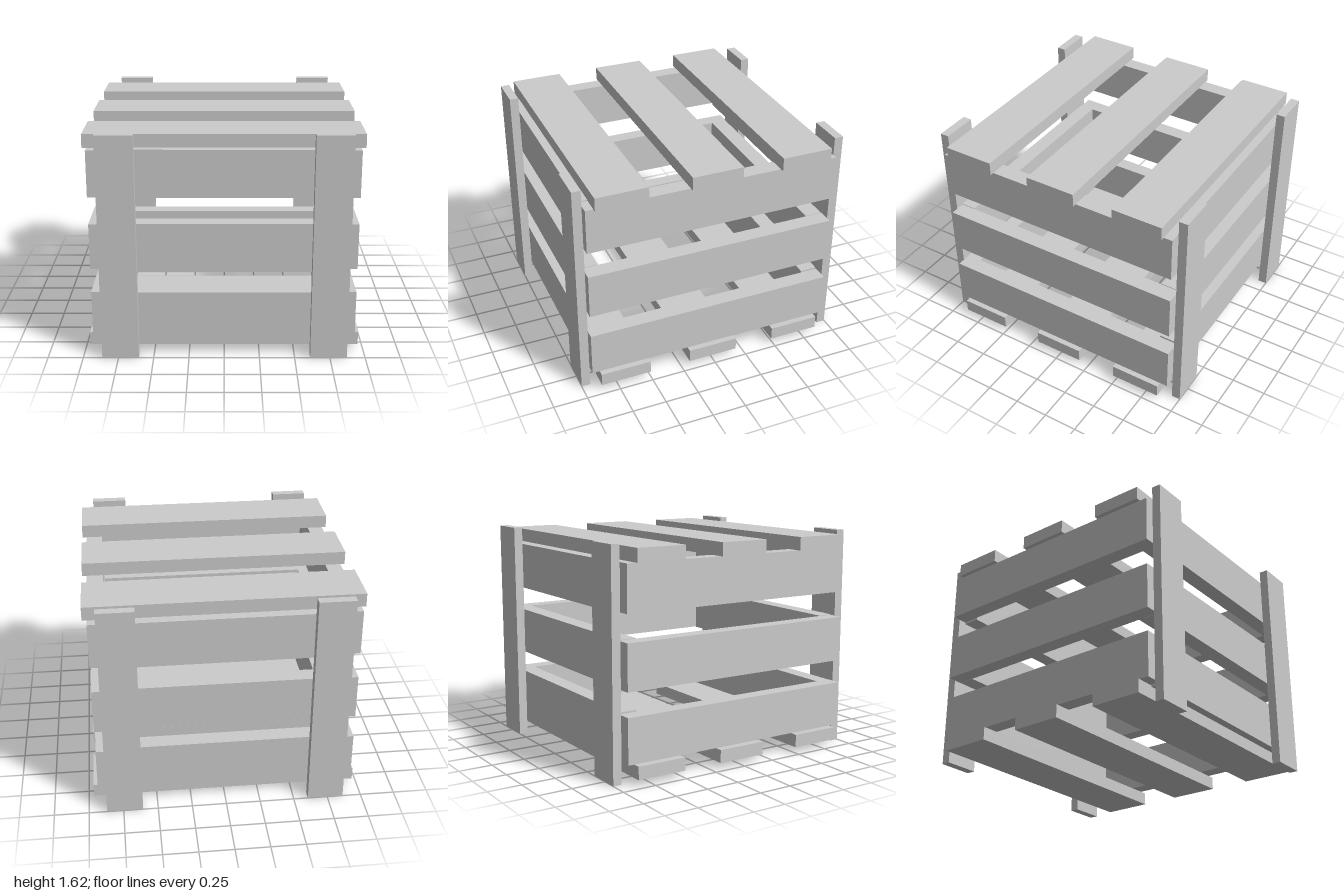
import * as THREE from 'three';

const material = new THREE.MeshStandardMaterial({ color: 0xcccccc, flatShading: true });

// Plank given by its extents along each axis
function plank(name, [x0, x1], [y0, y1], [z0, z1]) {
  const mesh = new THREE.Mesh(new THREE.BoxGeometry(x1 - x0, y1 - y0, z1 - z0), material);
  mesh.name = name;
  mesh.position.set((x0 + x1) / 2, (y0 + y1) / 2, (z0 + z1) / 2);
  return mesh;
}

export function createModel() {
  const crate = new THREE.Group();
  crate.name = 'crate';

  // Upright corner battens on the front and back
  for (const [side, x] of [['left', [0.61, 0.87]], ['right', [-0.865, -0.605]]]) {
    crate.add(plank(`${side}FrontBatten`, x, [0, 1.625], [0.935, 1]));
    crate.add(plank(`${side}BackBatten`, x, [0, 1.625], [-1, -0.935]));
  }

  // Lid and floor slats running across the crate
  for (const z of [[0.5, 0.875], [-0.185, 0.19], [-0.86, -0.485]]) {
    crate.add(plank('lidSlat', [-0.963, 0.96], [1.505, 1.602], z));
    crate.add(plank('floorSlat', [-0.963, 0.96], [0.045, 0.14], z));
  }

  // Side slats, three on each side
  for (const y of [[0.15, 0.477], [0.65, 0.98], [1.172, 1.503]]) {
    crate.add(plank('leftSideSlat', [0.81, 0.928], y, [-0.922, 0.932]));
    crate.add(plank('rightSideSlat', [-0.933, -0.82], y, [-0.922, 0.932]));
  }

  // Front and back slats fitted between the sides, spaced slightly differently
  for (const y of [[0.132, 0.475], [0.647, 0.984], [1.172, 1.51]])
    crate.add(plank('frontSlat', [-0.82, 0.81], y, [0.82, 0.935]));
  for (const y of [[0.15, 0.49], [0.647, 0.984], [1.155, 1.495]])
    crate.add(plank('backSlat', [-0.82, 0.81], y, [-0.915, -0.79]));

  return crate;
}
